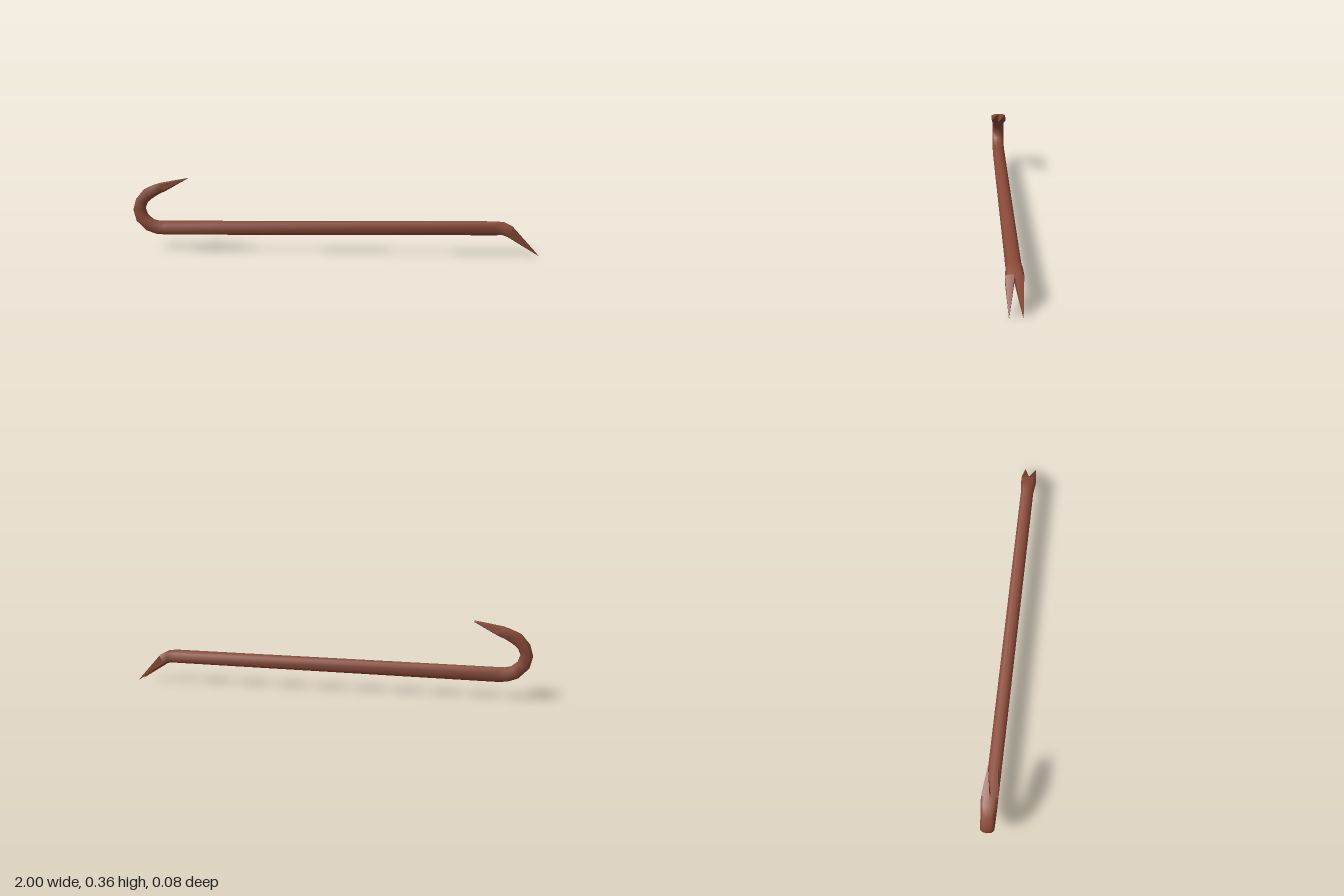
import * as THREE from 'three';
import { toCreasedNormals } from 'three/addons/utils/BufferGeometryUtils.js';

// Cross-sections from hook to claw:
// [outer x, outer y, inner x, inner y, half width, squareness of the flanks]
const SECTIONS = [
  [-0.86, 0.335, -0.835, 0.294, 0.039, 0.7],
  [-0.90, 0.322, -0.868, 0.279, 0.037, 0.65],
  [-0.945, 0.302, -0.902, 0.258, 0.032, 0.6],
  [-0.985, 0.255, -0.930, 0.235, 0.032, 0.55],
  [-1.0, 0.2, -0.942, 0.205, 0.032, 0.55],
  [-0.985, 0.143, -0.930, 0.173, 0.032, 0.55],
  [-0.935, 0.094, -0.902, 0.151, 0.032, 0.5],
  [-0.885, 0.076, -0.872, 0.144, 0.032, 0.5],
  [-0.83, 0.073, -0.83, 0.144, 0.032, 0.5],
  [0.79, 0.094, 0.79, 0.163, 0.032, 0.5],
  [0.825, 0.096, 0.835, 0.159, 0.036, 0.6],
  [0.85, 0.089, 0.875, 0.139, 0.039, 0.8],
];
const SIDES = 10;
const HALF = SIDES / 2;

// Point on a flat-flanked section; point 0 lies on the inner edge
function sectionPoint([ax, ay, bx, by, w, flat], j, side = 1) {
  const k = j <= HALF ? j : SIDES - j;
  const shoulder = (1 + flat) / 2 + 0.13 * (1 - flat) * 2;
  const depth = [1, shoulder, flat, -flat, -shoulder, -1][k] / 2;
  const width = [0, 0.62, 1, 1, 0.62, 0][k] * (j <= HALF ? 1 : -1);
  return [
    (ax + bx) / 2 + depth * (bx - ax),
    (ay + by) / 2 + depth * (by - ay),
    width * w * side,
  ];
}

// Smooth bent bar through all sections
function barGeometry() {
  const positions = [];
  const index = [];
  SECTIONS.forEach((section, i) => {
    for (let j = 0; j < SIDES; j++) {
      positions.push(...sectionPoint(section, j));
      if (i === SECTIONS.length - 1) continue;
      const a = i * SIDES + j;
      const b = i * SIDES + ((j + 1) % SIDES);
      index.push(a, b, a + SIDES, b, b + SIDES, a + SIDES);
    }
  });
  const g = new THREE.BufferGeometry();
  g.setAttribute('position', new THREE.Float32BufferAttribute(positions, 3));
  g.setIndex(index);
  g.computeVertexNormals();
  return g;
}

// Tapering prong with a flat inner face, so that a pair leaves a V notch
function prongGeometry(section, tip, end, side) {
  const positions = [];
  const point = [tip[0], tip[1], tip[2] * side];
  const face = (j, k) => {
    const p = sectionPoint(section, j, side);
    const q = sectionPoint(section, k, side);
    positions.push(...(end * side > 0 ? [...p, ...q, ...point] : [...q, ...p, ...point]));
  };
  for (let j = 0; j < HALF; j++) face(j, j + 1);
  face(HALF, 0);
  const g = new THREE.BufferGeometry();
  g.setAttribute('position', new THREE.Float32BufferAttribute(positions, 3));
  return toCreasedNormals(g, 0.9);
}

export function createModel() {
  const model = new THREE.Group();
  model.name = 'pryBar';
  const steel = new THREE.MeshStandardMaterial({ color: 0x8a4a38 });
  steel.name = 'rust brown';

  const add = (name, geometry) => {
    const mesh = new THREE.Mesh(geometry, steel);
    mesh.name = name;
    model.add(mesh);
  };

  add('bentBar', barGeometry());

  // Two prongs at each end
  for (const side of [1, -1]) {
    const label = side > 0 ? 'Front' : 'Back';
    add('hookProng' + label, prongGeometry(SECTIONS[0], [-0.722, 0.358, 0.023], -1, side));
    add('clawProng' + label, prongGeometry(SECTIONS[SECTIONS.length - 1], [1.0, 0, 0.029], 1, side));
  }
  return model;
}
